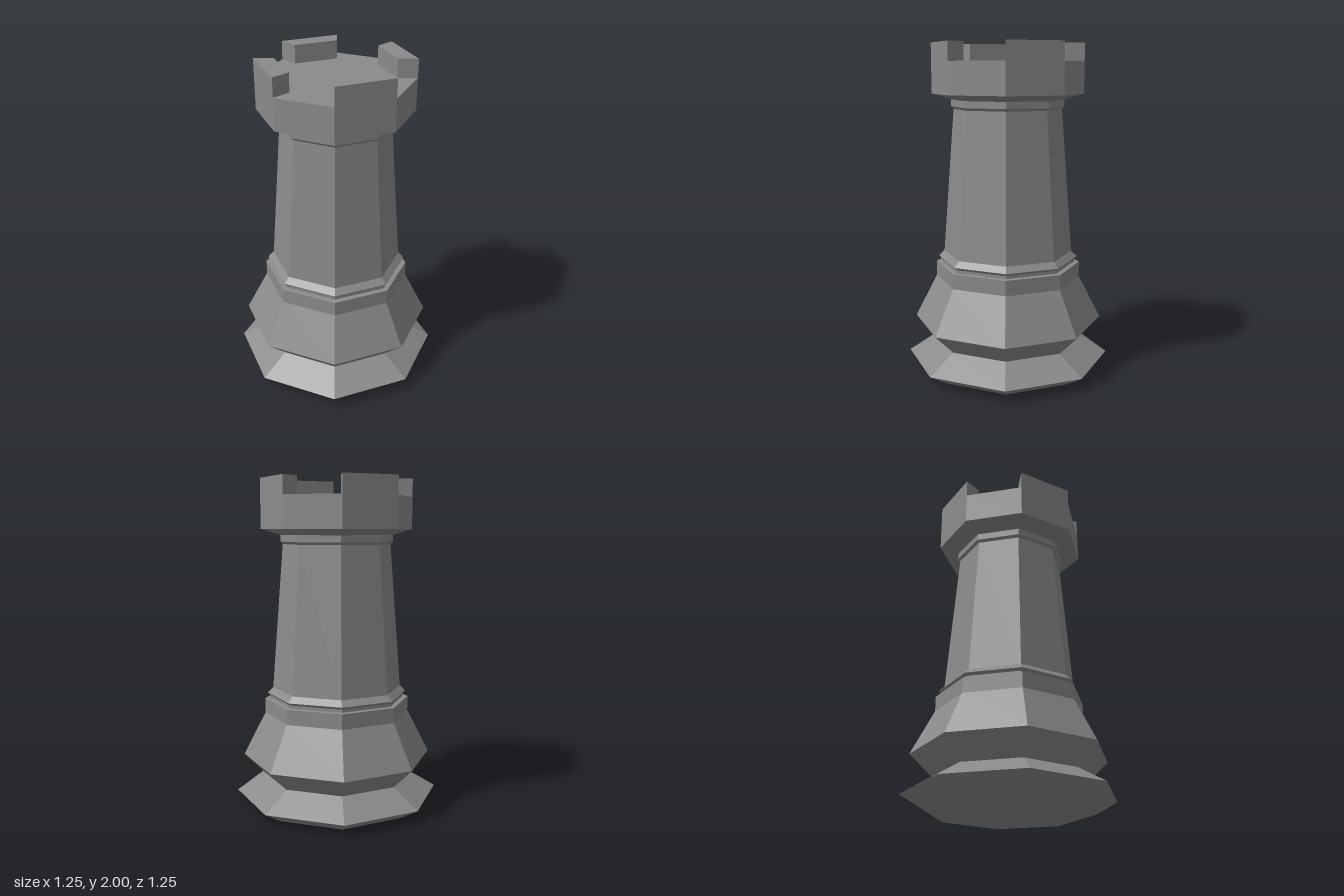
import * as THREE from 'three';

const SIDES = 8;
const RIM = 0.458, RIM_INNER = 0.343, DECK = 1.89, TOP = 2;

export function createModel() {
  const group = new THREE.Group();
  const material = new THREE.MeshStandardMaterial({ color: 0x8b8b8b, flatShading: true });

  const add = (name, geometry) => {
    const mesh = new THREE.Mesh(geometry, material);
    mesh.name = name;
    group.add(mesh);
    return mesh;
  };

  // Octagonal turned part from [radius, height] pairs, bottom to top
  const turned = (name, profile) =>
    add(name, new THREE.LatheGeometry(profile.map(([r, y]) => new THREE.Vector2(r, y)), SIDES));

  // Foot and stepped base
  turned('base', [
    [0, 0], [0.5, 0], [0.625, 0.075], [0.45, 0.18], [0.58, 0.308],
    [0.445, 0.572], [0.445, 0.663], [0.415, 0.665],
  ]);

  // Thin ring between base and shaft
  turned('lowerCollar', [[0.415, 0.665], [0.415, 0.683], [0.43, 0.698], [0.395, 0.733]]);

  // Tapered shaft
  turned('shaft', [[0.395, 0.733], [0.327, 1.61]]);

  // Ring under the head
  turned('upperCollar', [[0.327, 1.61], [0.341, 1.625], [0.341, 1.665]]);

  // Flared head with a flat deck
  turned('head', [[0.341, 1.665], [RIM, 1.7], [RIM, DECK], [0, DECK]]);

  // Battlements on every other side of the octagon
  const c = Math.SQRT1_2;
  const plan = new THREE.Shape([
    new THREE.Vector2(RIM_INNER, 0),
    new THREE.Vector2(RIM, 0),
    new THREE.Vector2(RIM * c, -RIM * c),
    new THREE.Vector2(RIM_INNER * c, -RIM_INNER * c),
  ]);
  const block = new THREE.ExtrudeGeometry(plan, { depth: TOP - DECK, bevelEnabled: false });
  block.rotateX(-Math.PI / 2).translate(0, DECK, 0);
  for (let i = 0; i < 4; i++) {
    add('battlement' + (i + 1), block).rotation.y = i * Math.PI / 2;
  }

  return group;
}
